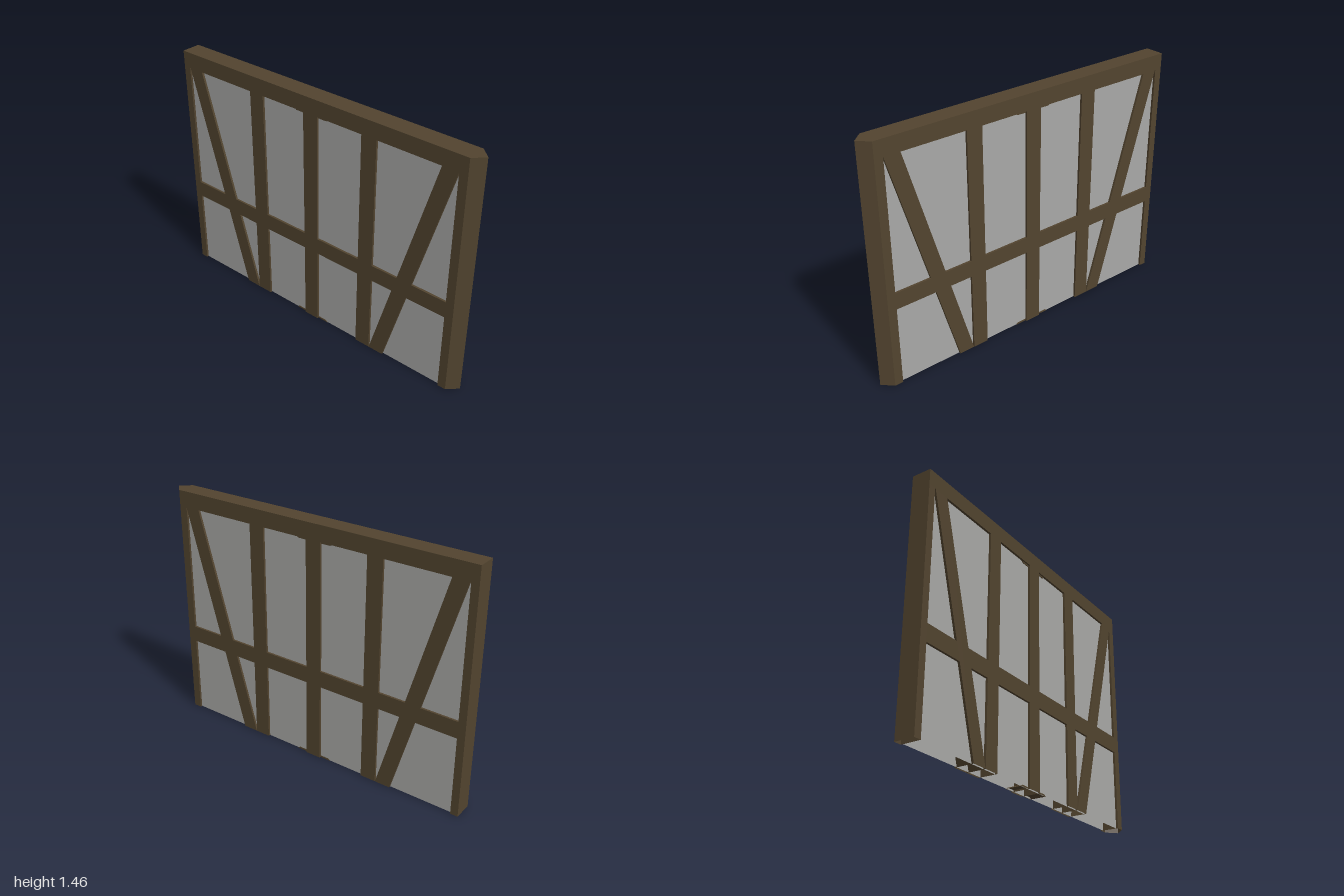
import * as THREE from 'three';

const H = 1.455, RAIL = 1.36, D = 0.058, INSET = 0.045, MID = -0.03;

// Hollow prism: outline extruded from a to b, leaving out walls that lie on the ground.
function prism(pts, place, caps) {
  const pos = [];
  const quad = (p, q, r, s) => pos.push(...p, ...q, ...r, ...p, ...r, ...s);
  pts.forEach(([x, y], i) => {
    const [u, v] = pts[(i + 1) % pts.length];
    if (!caps.plan && y === 0 && v === 0) return;
    quad(place(x, y, 0), place(u, v, 0), place(u, v, 1), place(x, y, 1));
  });
  for (const end of caps.ends) {
    for (let i = 1; i < pts.length - 1; i++) {
      const tri = [pts[0], pts[i], pts[i + 1]].map(([x, y]) => place(x, y, end));
      if (end === 0) tri.reverse();
      pos.push(...tri.flat());
    }
  }
  const g = new THREE.BufferGeometry();
  g.setAttribute('position', new THREE.Float32BufferAttribute(pos, 3));
  g.computeVertexNormals();
  return g;
}

export function createModel() {
  const wood = new THREE.MeshStandardMaterial({ color: 0x52442f, side: THREE.DoubleSide });
  wood.name = 'darkTimber';
  const plaster = new THREE.MeshStandardMaterial({ color: 0xa9a9a7, side: THREE.DoubleSide });
  plaster.name = 'greyPlaster';

  const wall = new THREE.Group();
  wall.name = 'timberFrameWall';
  const add = (name, geometry, material) => {
    const mesh = new THREE.Mesh(geometry, material);
    mesh.name = name;
    wall.add(mesh);
    return mesh;
  };

  // Beam with an outline in the wall plane, listed counterclockwise
  const beam = (name, pts, d = D) => add(name,
    prism(pts, (x, y, t) => [x, y, t ? d : -d], { ends: [0, 1] }), wood);
  const rect = (x0, x1, y0, y1) => [[x0, y0], [x1, y0], [x1, y1], [x0, y1]];

  // Rails and uprights
  beam('topRail', rect(-1, 0.89, RAIL, H));
  beam('middleRail', rect(-0.955, 0.89, 0.485, 0.585));
  beam('rightEndPost', rect(-1, -0.955, 0, RAIL));
  for (const x of [-0.39, 0, 0.39]) {
    beam('upright', rect(MID + x - 0.048, MID + x + 0.048, 0, RAIL));
  }

  // Pointed end post, outlined in plan
  const plan = [[0.89, D], [0.94, D], [1, 0], [0.94, -D], [0.89, -D]];
  add('pointedEndPost',
    prism(plan, (x, z, t) => [x, t ? H : 0, z], { plan: true, ends: [1] }), wood);

  // Slanted braces and small tabs, mirrored about the middle upright
  for (const s of [-1, 1]) {
    const mirror = (pts) => {
      const out = pts.map(([x, y]) => [MID + s * x, y]);
      return s < 0 ? out.reverse() : out;
    };
    beam('brace', mirror([[0.44, 0], [0.535, 0], [0.92, RAIL], [0.825, RAIL]]));
    beam('upperTab', mirror([[0.048, 1.35], [0.105, 1.35], [0.118, RAIL], [0.048, RAIL]]), INSET + 0.004);
    beam('lowerTab', mirror([[0.048, 0], [0.118, 0], [0.105, 0.009], [0.048, 0.009]]), INSET + 0.004);
  }

  // Recessed infill on both faces
  for (const s of [1, -1]) {
    const panel = add(s > 0 ? 'frontPanel' : 'backPanel',
      new THREE.PlaneGeometry(1.845, RAIL), plaster);
    panel.position.set(-0.0325, RAIL / 2, s * INSET);
    if (s < 0) panel.rotation.y = Math.PI;
  }
  return wall;
}
